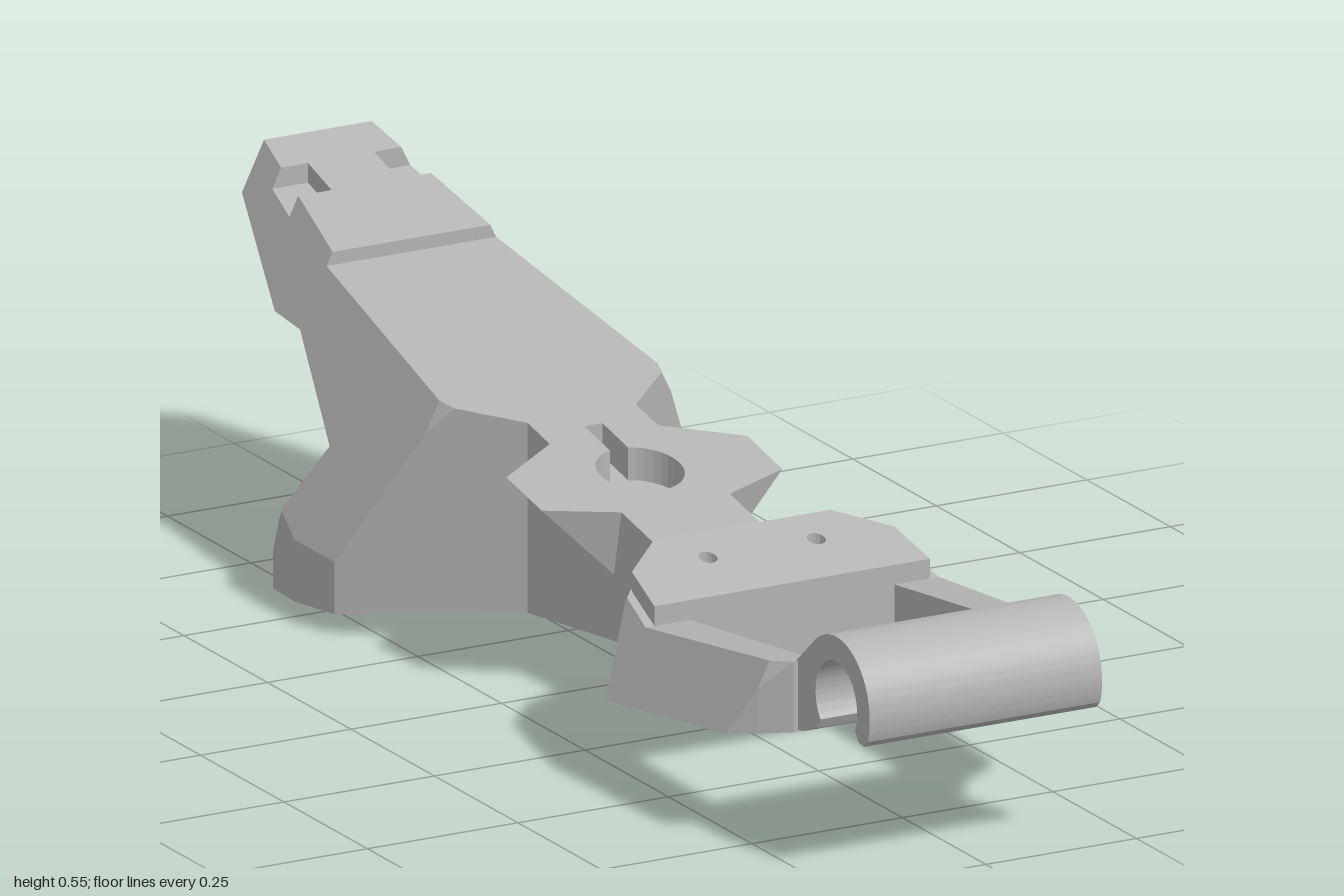
import * as THREE from 'three';
import { toCreasedNormals } from 'three/addons/utils/BufferGeometryUtils.js';

// Piecewise-linear lookup along z (points listed from front to back)
function at(points, z) {
  if (z >= points[0][0]) return points[0][1];
  for (let i = 1; i < points.length; i++) {
    const [z0, v0] = points[i - 1], [z1, v1] = points[i];
    if (z >= z1) return v0 + (v1 - v0) * (z0 - z) / (z0 - z1);
  }
  return points[points.length - 1][1];
}

const bottom = z => Math.max(0, (z + 0.65) * 0.12);
const limit = y => Math.min(0.305, 0.305 - 0.49 * (y - 0.11)); // leaning side planes
const topLine = [[0.42, 0.265], [0.27, 0.31], [0.18, 0.265], [-0.72, 0.445]];
const top = z => at(topLine, z);
const widthLine = [[0.8, 0.18], [0.72, 0.29], [0.4, 0.3], [0.22, 0.09], [-0.21, 0.09],
  [-0.4, 0.305], [-0.52, 0.305], [-0.62, 0.285], [-0.65, 0.19]];
const width = z => at(widthLine, z);
const tailTop = z => at([[-0.72, 0.465], [-1, 0.55]], z);
const tailUnder = z => at([[-0.53, 0.24], [-0.72, 0.355], [-0.8, 0.36], [-1, 0.475]], z);
const skirtBack = z => at([[-0.53, 0.24], [-0.65, 0.005]], z);

// Right half of a cross-section: bottom corner, knee, top corner
function halfSection(w, b, t) {
  const knee = THREE.MathUtils.clamp(0.11 + (0.305 - w) / 0.49, b, t);
  return [b, knee, t].map(y => [Math.min(w, limit(y)), y]);
}

// Full symmetric section; an optional channel [halfWidth, roof] is open below
function section(w, b, t, channel) {
  const half = halfSection(w, b, t);
  const poly = [...half, ...half.slice().reverse().map(([x, y]) => [-x, y])];
  if (channel) {
    const [hw, roof] = channel;
    const rw = Math.min(hw, limit(roof) - 0.04);
    poly.push([-hw, b], [-rw, roof], [rw, roof], [hw, b]);
  }
  return poly;
}

// Joins counter-clockwise sections from z0 back to z1, with closed ends
function loft(z0, z1, sectionAt, breaks = []) {
  const zs = [...breaks];
  for (let i = 0; i <= 12; i++) zs.push(z0 + (z1 - z0) * i / 12);
  zs.sort((a, b) => b - a);
  const rings = zs.map(z => sectionAt(z).map(([x, y]) => [x, y, z]));
  const pos = [], n = rings[0].length;
  const tri = (a, b, c) => pos.push(...a, ...b, ...c);
  for (let k = 0; k + 1 < rings.length; k++) {
    for (let i = 0; i < n; i++) {
      const j = (i + 1) % n, a = rings[k], b = rings[k + 1];
      tri(a[i], b[i], a[j]);
      tri(a[j], b[i], b[j]);
    }
  }
  const cap = (ring, flip) => {
    const faces = THREE.ShapeUtils.triangulateShape(ring.map(p => new THREE.Vector2(p[0], p[1])), []);
    for (const [a, b, c] of faces) flip ? tri(ring[a], ring[c], ring[b]) : tri(ring[a], ring[b], ring[c]);
  };
  cap(rings[0], false);
  cap(rings[rings.length - 1], true);
  const g = new THREE.BufferGeometry();
  g.setAttribute('position', new THREE.Float32BufferAttribute(pos, 3));
  g.computeVertexNormals();
  return g;
}

// Cover plate cut from a plan outline [x, z], following a top surface
function plate(half, holes, surface, thickness) {
  const v = ([x, z]) => new THREE.Vector2(x, -z);
  const shape = new THREE.Shape([...half.map(v), ...half.slice().reverse().map(([x, z]) => v([-x, z]))]);
  shape.holes = holes.map(h => new THREE.Path(h.map(v)));
  const g = new THREE.ExtrudeGeometry(shape, { depth: thickness, bevelEnabled: false });
  g.rotateX(-Math.PI / 2);
  const p = g.attributes.position;
  for (let i = 0; i < p.count; i++) p.setY(i, surface(p.getZ(i)) - thickness + p.getY(i));
  g.computeVertexNormals();
  return g;
}

const circle = (cx, cz, r, n, a0 = 0, a1 = Math.PI * 2) => Array.from({ length: n }, (_, i) => {
  const a = a0 + (a1 - a0) * i / (a1 - a0 > 6.28 ? n : n - 1);
  return [cx + r * Math.sin(a), cz + r * Math.cos(a)];
});

// Closed hull between two z values built with small convex faces
function wing(side) {
  const t = [[0.08, 0.075], [0.2, 0.03], [0.2, -0.075], [0.08, -0.15]]
    .map(([x, z]) => [x * side, top(z), z]);
  const b = [[0.08 * side, 0.175, 0.05], [0.08 * side, 0.212, -0.16]];
  const faces = [[t[0], t[1], t[2]], [t[0], t[2], t[3]], [t[0], b[0], t[1]],
    [t[1], b[0], b[1]], [t[1], b[1], t[2]], [t[2], b[1], t[3]]];
  const pos = faces.flatMap(f => (side > 0 ? f : [f[0], f[2], f[1]]).flat());
  const g = new THREE.BufferGeometry();
  g.setAttribute('position', new THREE.Float32BufferAttribute(pos, 3));
  g.computeVertexNormals();
  return g;
}

export function createModel() {
  const group = new THREE.Group();
  const grey = new THREE.MeshStandardMaterial({ color: 0xb4b4b4 });
  grey.name = 'grey';
  const add = (name, geometry) => {
    const mesh = new THREE.Mesh(geometry, grey);
    mesh.name = name;
    group.add(mesh);
  };

  // Front hook with the sloping crossbar behind it
  const hook = new THREE.Shape();
  hook.absarc(0.9, 0.25, 0.1, -0.35, 2.3, false);
  for (const [z, y] of [[0.78, 0.28], [0.73, 0.2], [0.73, 0.167], [0.8, 0.177], [0.825, 0.188], [0.845, 0.195]]) hook.lineTo(z, y);
  hook.absarc(0.9, 0.25, 0.062, Math.PI + 0.7, -0.45, true);
  hook.lineTo(0.965, 0.208);
  hook.lineTo(0.982, 0.205);
  const hookGeo = new THREE.ExtrudeGeometry(hook, { depth: 0.386, bevelEnabled: false, curveSegments: 32 });
  hookGeo.translate(0, 0, -0.193).rotateY(-Math.PI / 2);
  add('frontHook', toCreasedNormals(hookGeo, 0.4));

  // Side bars of the front frame
  const barTop = z => at([[0.78, 0.28], [0.42, 0.235]], z);
  for (const side of [1, -1]) {
    add('frameBar', loft(0.785, 0.42, z => {
      const b = bottom(z), t = barTop(z);
      const poly = [[0.17, b], ...halfSection(Math.max(width(z), 0.18), b, t), [0.17, t]];
      return side > 0 ? poly : poly.reverse().map(([x, y]) => [-x, y]);
    }, [0.72]));
  }

  // Rear frame bar with its pin plate, then the neck
  add('frameRear', loft(0.42, 0.27, z => section(width(z), bottom(z), top(z) - 0.03), [0.4]));
  add('pinPlate', plate([[0.147, 0.27], [0.218, 0.333], [0.229, 0.42]],
    [-0.09, 0.09].map(x => circle(x, 0.33, 0.014, 14)), top, 0.03));
  add('neck', loft(0.27, 0.06, z => section(width(z), bottom(z), top(z)), [0.22, 0.18]));

  // Hub: keyhole plate over a lowered channel, with a wing on each side
  const hollow = (z, drop) => [width(z) - 0.035, top(z) - drop];
  add('hubBase', loft(0.06, -0.2, z => section(width(z), bottom(z), top(z) - 0.05, hollow(z, 0.08))));
  const gap = Math.asin(0.015 / 0.065);
  const keyhole = [...circle(0, -0.035, 0.065, 32, Math.PI + gap, Math.PI * 3 - gap), [0.015, -0.175], [-0.015, -0.175]];
  add('hubPlate', plate([[0.09, -0.2], [0.09, 0.06]], [keyhole], top, 0.05));
  for (const side of [1, -1]) add('hubWing', wing(side));

  // Hollow main body and the skirt closing its back
  add('body', loft(-0.2, -0.53, z => section(width(z), bottom(z), top(z), hollow(z, 0.05)),
    [-0.21, -0.4, -0.52]));
  add('skirt', loft(-0.53, -0.65, z => {
    const b = bottom(z), t = skirtBack(z);
    return section(width(z), b, t, [width(z) - 0.035, Math.max(b + 0.001, t - 0.1)]);
  }, [-0.62]));

  // Tail with a channel below and a notch on each side of the top
  const tail = (z0, z1, surface, drop, breaks) => add('tail', loft(z0, z1, z =>
    section(0.305, tailUnder(z), surface(z) - drop,
      [0.04, tailUnder(z) + (z < -0.54 ? 0.025 : 0.001)]), breaks));
  tail(-0.53, -0.72, top, 0);
  tail(-0.72, -0.86, tailTop, 0, [-0.8]);
  tail(-0.86, -0.93, tailTop, 0.03);
  tail(-0.93, -1, tailTop, 0);
  add('notchBridge', loft(-0.86, -0.93, z => section(0.055, tailTop(z) - 0.03, tailTop(z))));

  return group;
}
